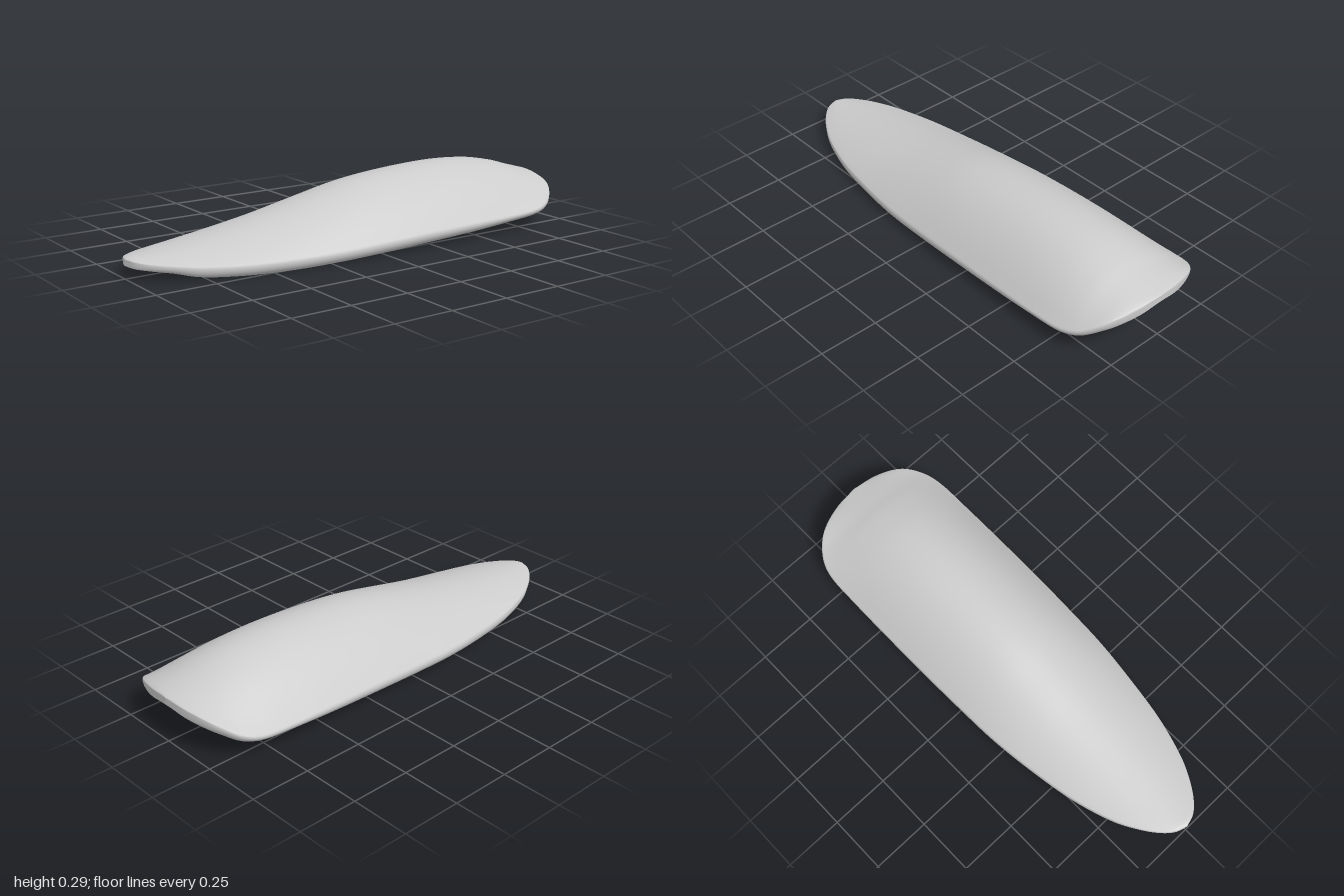
import * as THREE from 'three';

// Stations from back to front: z, half width, crown height, rim top, rim bottom, underside height at centre
const STATIONS = [
  [-1.0, 0.0, 0.192, 0.19, 0.165, 0.165],
  [-0.99, 0.1, 0.196, 0.183, 0.147, 0.15],
  [-0.965, 0.19, 0.203, 0.168, 0.13, 0.138],
  [-0.93, 0.25, 0.213, 0.147, 0.11, 0.125],
  [-0.87, 0.3, 0.23, 0.113, 0.076, 0.108],
  [-0.79, 0.322, 0.254, 0.092, 0.058, 0.094],
  [-0.65, 0.326, 0.28, 0.084, 0.047, 0.084],
  [-0.45, 0.327, 0.29, 0.08, 0.034, 0.074],
  [-0.2, 0.325, 0.278, 0.074, 0.023, 0.066],
  [0.0, 0.32, 0.255, 0.066, 0.014, 0.06],
  [0.2, 0.311, 0.212, 0.058, 0.007, 0.056],
  [0.4, 0.287, 0.168, 0.053, 0.002, 0.053],
  [0.6, 0.252, 0.132, 0.053, 0.004, 0.052],
  [0.77, 0.2, 0.107, 0.058, 0.014, 0.052],
  [0.87, 0.15, 0.095, 0.065, 0.034, 0.052],
  [0.94, 0.1, 0.088, 0.07, 0.043, 0.052],
  [0.982, 0.052, 0.084, 0.075, 0.048, 0.052],
  [1.0, 0.0, 0.078, 0.078, 0.053, 0.053],
];

const SECTIONS = 102, ACROSS = 28, RIM = 8;
const TOP_INSET = 0.98, BOTTOM_INSET = 0.92;

// Closed cross-section: arched top, rounded rim, shallow dished underside, rounded rim
function crossSection(halfWidth, crown, rimTop, rimBottom, hollow) {
  const points = [];
  const rim = (side) => {
    for (let k = 1; k < RIM; k++) {
      const t = side < 0 ? k / RIM : 1 - k / RIM; // 0 at the top edge, 1 at the bottom
      const reach = THREE.MathUtils.lerp(TOP_INSET, BOTTOM_INSET, t) + 0.047 * Math.sin(Math.PI * t);
      const drop = (1 - Math.cos(Math.PI * t)) / 2;
      points.push([side * halfWidth * reach, THREE.MathUtils.lerp(rimTop, rimBottom, (t + drop) / 2)]);
    }
  };
  // The crown leans slightly to +x
  for (let k = 0; k <= ACROSS; k++) {
    const v = 1 - (2 * k) / ACROSS;
    const rise = (1 - v * v) * (1 + 0.06 * v);
    points.push([halfWidth * TOP_INSET * v, rimTop + (crown - rimTop) * rise]);
  }
  rim(-1);
  for (let k = 0; k <= ACROSS; k++) {
    const v = (2 * k) / ACROSS - 1;
    points.push([halfWidth * BOTTOM_INSET * v, rimBottom + (hollow - rimBottom) * (1 - v ** 4)]);
  }
  rim(1);
  return points;
}

function shellGeometry() {
  // Two smooth curves that share a parameter carry the station values
  const curve = (pick) => new THREE.CatmullRomCurve3(
    STATIONS.map((s) => new THREE.Vector3(...pick.map((i) => s[i]))), false, 'catmullrom', 0.5);
  const plan = curve([0, 1, 2]);
  const edge = curve([3, 4, 5]);

  const positions = [], indices = [];
  let count = 0;
  for (let i = 0; i <= SECTIONS; i++) {
    const p = plan.getPoint(i / SECTIONS), e = edge.getPoint(i / SECTIONS);
    const ring = crossSection(Math.max(p.y, 0), p.z, e.x, e.y, e.z);
    count = ring.length;
    for (const [x, y] of ring) positions.push(x, y, p.x);
  }
  for (let i = 0; i < SECTIONS; i++) {
    for (let j = 0; j < count; j++) {
      const a = i * count + j, b = i * count + ((j + 1) % count);
      indices.push(a, b, a + count, b, b + count, a + count);
    }
  }
  const geometry = new THREE.BufferGeometry();
  geometry.setAttribute('position', new THREE.Float32BufferAttribute(positions, 3));
  geometry.setIndex(indices);
  geometry.computeVertexNormals();
  return geometry;
}

export function createModel() {
  const group = new THREE.Group();
  group.name = 'archedShell';
  const shell = new THREE.Mesh(shellGeometry(), new THREE.MeshStandardMaterial({ color: 0xcccccc }));
  shell.name = 'shell';
  group.add(shell);
  return group;
}
